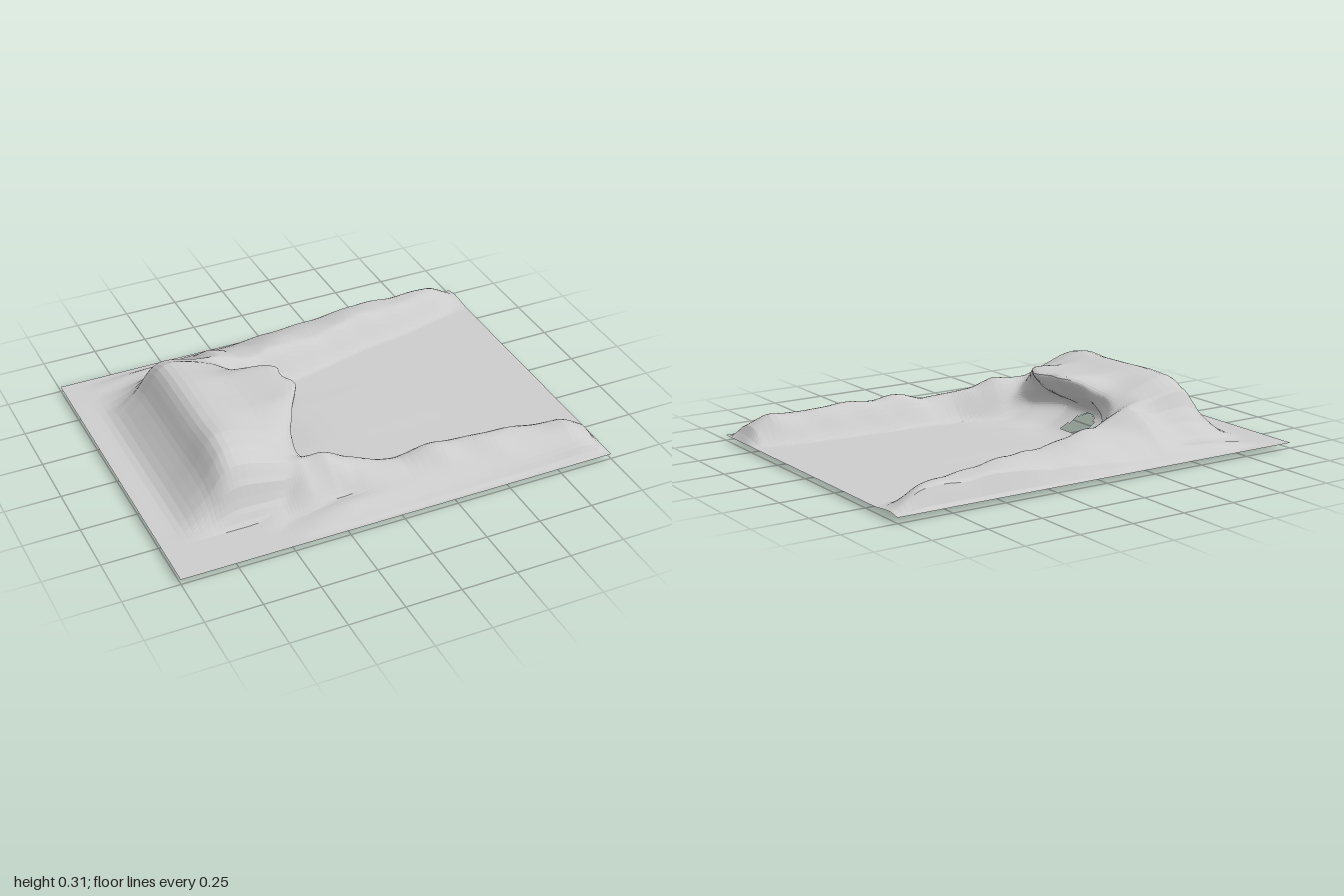
import * as THREE from 'three';

const GROUND = 0.025;

// Smooth interpolation through [position, value] pairs
function sample(table, t) {
  if (t <= table[0][0]) return table[0][1];
  for (let i = 1; i < table.length; i++) {
    const [t1, v1] = table[i], [t0, v0] = table[i - 1];
    if (t <= t1) {
      const linear = (t - t0) / (t1 - t0);
      return v0 + (v1 - v0) * 0.5 * (linear + THREE.MathUtils.smoothstep(t, t0, t1));
    }
  }
  return table[table.length - 1][1];
}

// Hill height, lip reach and amount of overhang across z
const hillHeight = [[-0.72, 0], [-0.6, 0.04], [-0.53, 0.09], [-0.48, 0.14], [-0.42, 0.23], [-0.33, 0.268], [-0.2, 0.274],
  [0, 0.268], [0.13, 0.266], [0.25, 0.274], [0.34, 0.26], [0.41, 0.22], [0.46, 0.155], [0.5, 0.06], [0.55, 0]];
const lipReach = [[-0.36, -0.37], [-0.26, -0.35], [-0.2, -0.27], [-0.1, -0.21], [0, -0.185],
  [0.1, -0.2], [0.18, -0.25], [0.28, -0.25], [0.36, -0.3]];
const overhang = [[-0.37, 0], [-0.27, 0.5], [-0.15, 1], [0.13, 1], [0.27, 0.5], [0.36, 0]];

// Crest position and height of the two side ridges along x
const backCrest = [[-0.8, -0.55], [-0.45, -0.43], [-0.3, -0.42], [0, -0.49], [0.5, -0.6], [1, -0.7]];
const backHeight = [[-0.85, 0], [-0.6, 0.03], [-0.35, 0.17], [-0.15, 0.13], [0.1, 0.108], [0.5, 0.105], [0.85, 0.085], [1, 0.01]];
const frontCrest = [[-0.4, 0.42], [-0.2, 0.42], [0, 0.5], [0.3, 0.52], [0.7, 0.55], [1, 0.6]];
const frontHeight = [[-0.6, 0], [-0.45, 0.06], [-0.33, 0.16], [-0.23, 0.165], [-0.12, 0.125], [0.1, 0.095], [0.28, 0.13],
  [0.5, 0.118], [0.85, 0.105], [0.94, 0.07], [1, 0]];
const frontShelf = [[-0.5, 0], [-0.2, 0.05], [0.2, 0.06], [0.85, 0.07], [1, 0]];

const bump = (d, width) => {
  const t = Math.min(Math.abs(d) / width, 1);
  return (1 - t * t) ** 2;
};

// Rounded maximum of several heights
const blend = (...heights) => heights.reduce((sum, h) => sum + h ** 4, 0) ** 0.25;

function ridgeHeight(x, z) {
  const ripple = 1 + 0.05 * Math.sin(x * 17 + z * 9) + 0.03 * Math.sin(x * 31 - z * 23);
  const db = z - sample(backCrest, x);
  const back = sample(backHeight, x) * bump(db, db > 0 ? 0.14 : 0.36);
  const df = z - sample(frontCrest, x);
  const front = sample(frontHeight, x) * bump(df, df < 0 ? 0.14 : 0.22);
  // Low swells outside the main ridges
  const backSwell = 0.04 * bump(z + 0.66, 0.08) * bump(x + 0.5, 0.45);
  const shelf = sample(frontShelf, x) * bump(z - 0.63, 0.13);
  // Taper out at the border of the sheet
  const edge = THREE.MathUtils.smoothstep(0.75 - Math.abs(z), 0, 0.06);
  return blend(back * ripple, front * ripple, backSwell, shelf) * edge;
}

// Cross-section along x at one z: ground, outer slope, roof, lip, cave wall, floor
function section(z) {
  const h = sample(hillHeight, z), f = sample(overhang, z), lip = sample(lipReach, z);
  const wobble = 0.012 * Math.sin(z * 40);
  const dip = bump(z, 0.45);
  // The roof falls away to both sides of the cave mouth
  const drop = THREE.MathUtils.smoothstep(Math.abs(z), 0.1, 0.32);
  const mix = (x0, y0, x1, y1) => new THREE.Vector3(x0 + (x1 - x0) * f, y0 + (y1 - y0) * f, 0);
  return new THREE.CatmullRomCurve3([
    new THREE.Vector3(-1, 0, 0),
    new THREE.Vector3(-0.88, h * 0.02, 0),
    new THREE.Vector3(-0.76, h * 0.42, 0),
    new THREE.Vector3(-0.645, h, 0),
    mix(-0.45, h * 0.84, -0.42, h * (0.99 - 0.1 * drop)),
    mix(-0.36, h * 0.64, lip + wobble, h * (1 - 0.22 * drop)),
    mix(-0.28, h * 0.4, lip - 0.07, h * (0.68 - 0.1 * drop)),
    mix(-0.21, h * 0.2, -0.43, 0.07),
    mix(-0.13, h * 0.05, -0.33, -0.012 * dip),
    mix(-0.03, 0, -0.24, -0.024 * dip),
    mix(0.2, 0, -0.08, -0.004 * dip),
    new THREE.Vector3(1, 0, 0),
  ], false, 'centripetal');
}

function terrainGeometry() {
  const steps = [4, 4, 6, 6, 6, 7, 8, 12, 6, 8, 32];
  const params = [0];
  steps.forEach((n, s) => {
    for (let k = 1; k <= n; k++) params.push((s + k / n) / steps.length);
  });
  const cols = params.length, rows = 91;
  const positions = [], indices = [];
  for (let j = 0; j < rows; j++) {
    const z = -0.75 + 1.5 * j / (rows - 1);
    const curve = section(z), f = sample(overhang, z);
    for (const t of params) {
      const p = curve.getPoint(t);
      const ridge = ridgeHeight(p.x, z) * (1 - f);
      const y = p.y > 0 ? blend(p.y, ridge) : p.y + ridge;
      positions.push(p.x, Math.max(0, y + GROUND), z);
    }
  }
  // Faces, leaving a small half-round gap low in the cave wall
  const inGap = (i, j) => {
    const k = j * cols + i, seg = params[i] * steps.length;
    const y = positions[k * 3 + 1], z = positions[k * 3 + 2];
    return seg > 6.3 && seg < 7.95 && Math.hypot(z + 0.043, y - 0.012) < 0.08;
  };
  for (let j = 0; j < rows - 1; j++) {
    for (let i = 0; i < cols - 1; i++) {
      if (inGap(i, j)) continue;
      const a = j * cols + i, b = a + cols;
      indices.push(a, b, a + 1, b, b + 1, a + 1);
    }
  }
  const geometry = new THREE.BufferGeometry();
  geometry.setAttribute('position', new THREE.Float32BufferAttribute(positions, 3));
  geometry.setIndex(indices);
  geometry.computeVertexNormals();
  return geometry;
}

export function createModel() {
  const group = new THREE.Group();
  group.name = 'caveTerrain';
  const material = new THREE.MeshStandardMaterial({ color: 0xcccccc, flatShading: true, side: THREE.DoubleSide });
  const terrain = new THREE.Mesh(terrainGeometry(), material);
  terrain.name = 'terrainWithCaveAndRidges';
  group.add(terrain);
  return group;
}
